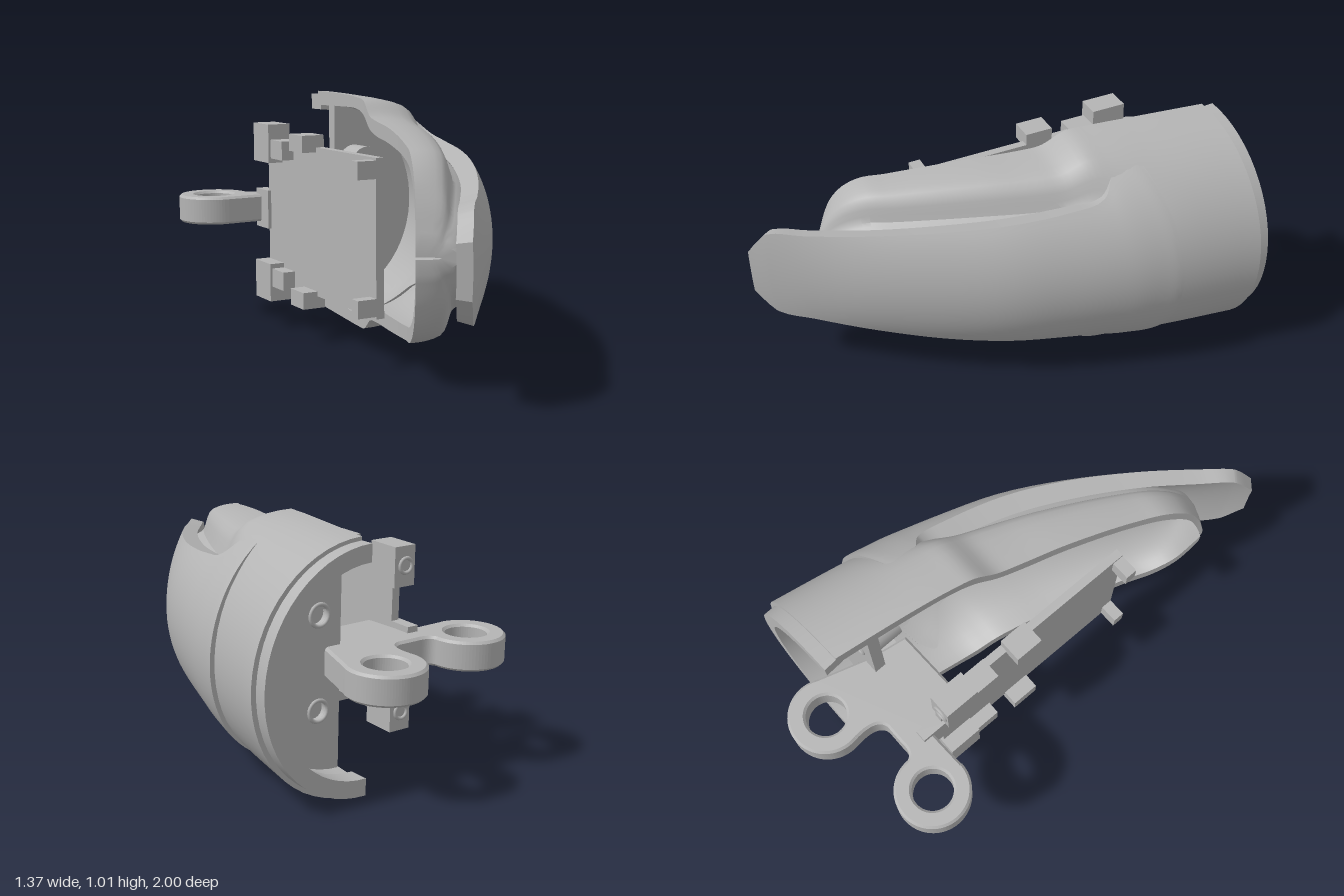
import * as THREE from 'three';
import { toCreasedNormals } from 'three/addons/utils/BufferGeometryUtils.js';

const MID = 0.51;      // height of the symmetry plane
const TILT = -0.24;    // turn of the bulkhead
const N = 30;          // half the points of each cross-section loop

// Smoothly fills in rows of numbers; the first two columns set the spacing.
function refine(rows, steps) {
  const at = [0];
  for (let i = 1; i < rows.length; i++)
    at.push(at[i - 1] + Math.hypot(rows[i][0] - rows[i - 1][0], rows[i][1] - rows[i - 1][1]));
  const curve = new THREE.CubicInterpolant(at, rows.flat(), rows[0].length);
  const out = [];
  for (let i = 0; i < rows.length - 1; i++)
    for (let k = 0; k < steps; k++)
      out.push(Array.from(curve.evaluate(at[i] + (at[i + 1] - at[i]) * k / steps)));
  out.push(rows[rows.length - 1]);
  return out;
}

// Skins closed loops (outer line down, inner line back up) and caps both ends.
function loft(loops) {
  const pos = loops.flat(2), idx = [], L = loops[0].length, last = (loops.length - 1) * L;
  for (let k = 0; k < loops.length - 1; k++)
    for (let i = 0; i < L; i++) {
      const a = k * L + i, b = k * L + (i + 1) % L;
      idx.push(a, a + L, b, b, a + L, b + L);
    }
  for (let j = 0; j < L / 2 - 1; j++) {
    const p = j, q = j + 1, r = L - 1 - j, s = L - 2 - j;
    idx.push(p, q, r, q, s, r);
    idx.push(last + p, last + r, last + q, last + q, last + r, last + s);
  }
  const g = new THREE.BufferGeometry();
  g.setAttribute('position', new THREE.Float32BufferAttribute(pos, 3));
  g.setIndex(idx);
  return toCreasedNormals(g, 0.55);
}

// Upper half of the recessed section: flat shoulder, ridge, channel, outer bulge.
const RIDGED = [[0, 1], [0.15, 1], [0.3, 0.985], [0.43, 0.95], [0.51, 0.89], [0.55, 0.79], [0.59, 0.69],
  [0.66, 0.65], [0.76, 0.62], [0.88, 0.44], [0.96, 0.24], [1, 0]];

function arch(a, w) {
  const t = Math.abs(a), f = t * (RIDGED.length - 1), i = Math.min(Math.floor(f), RIDGED.length - 2);
  const mix = (c) => THREE.MathUtils.lerp(RIDGED[i][c], RIDGED[i + 1][c], f - i);
  const ang = t * Math.PI / 2;
  return [THREE.MathUtils.lerp(Math.sin(ang), mix(0), w),
    THREE.MathUtils.lerp(Math.cos(ang), mix(1), w)];
}

// Row: open edge x, z, outer x, z, half height, inner half height, ridge blend
function shellLoop([ix, iz, ox, oz, h, hi, blend]) {
  const d = Math.hypot(ox - ix, oz - iz), w = THREE.MathUtils.clamp(blend, 0, 1);
  const inner = Math.max(0.02, d - 0.065) / d, outer = [], back = [];
  for (let j = 0; j < N; j++) {
    const t = j / (N - 1) * 2 - 1, sign = t < 0 ? 1 : -1, a = 1 - Math.abs(t);
    const [s, y] = arch(a, w), [si, yi] = arch(a, 0);
    outer.push([ix + (ox - ix) * s, MID + sign * y * h, iz + (oz - iz) * s]);
    back.unshift([ix + (ox - ix) * si * inner, MID + sign * yi * hi, iz + (oz - iz) * si * inner]);
  }
  return outer.concat(back);
}

// Row: crest x, z, inward direction x, z, depth, ellipse height, edge height, thickness
function coverLoop([ox, oz, dx, dz, d, ho, e, thick]) {
  const len = Math.hypot(dx, dz), outer = [], back = [];
  for (let j = 0; j < N; j++) {
    const y = e * (1 - 2 * j / (N - 1));
    const drop = d * (1 - Math.sqrt(Math.max(0, 1 - (y / ho) ** 2)));
    const put = (k, yy) => [ox - dx / len * k, MID + yy, oz - dz / len * k];
    outer.push(put(drop, y));
    back.unshift(put(drop + thick, y * 0.93));
  }
  return outer.concat(back);
}

export function createModel() {
  const model = new THREE.Group();
  const grey = new THREE.MeshStandardMaterial({ color: 0xb4b4b4 });
  grey.name = 'grey';
  const add = (name, geometry, parent = model) => {
    const mesh = new THREE.Mesh(geometry, grey);
    mesh.name = name;
    parent.add(mesh);
    return mesh;
  };

  // Curved half-tube shell with a rounded nose
  add('shell', loft(refine([
    [0.2, -0.715, 0.678, -0.61, 0.505, 0.44, 0],
    [0.08, -0.42, 0.54, -0.31, 0.505, 0.45, 0],
    [0.0, -0.24, 0.45, -0.13, 0.5, 0.45, 0.4],
    [-0.04, -0.16, 0.4, -0.04, 0.49, 0.43, 0.75],
    [-0.085, -0.08, 0.35, 0.05, 0.435, 0.38, 0.95],
    [-0.13, 0, 0.29, 0.13, 0.42, 0.36, 1],
    [-0.24, 0.19, 0.14, 0.3, 0.405, 0.345, 1],
    [-0.42, 0.46, -0.14, 0.58, 0.365, 0.31, 1],
    [-0.5, 0.56, -0.26, 0.68, 0.34, 0.28, 1],
    [-0.56, 0.635, -0.37, 0.76, 0.26, 0.2, 1],
    [-0.585, 0.665, -0.43, 0.8, 0.18, 0.11, 1],
    [-0.61, 0.69, -0.5, 0.8, 0.06, 0.005, 1],
  ], 4).map(shellLoop)));

  // Stepped lip around the mouth
  add('mouthLip', loft([
    [0.21, -0.77, 0.668, -0.665, 0.49, 0.42, 0],
    [0.195, -0.69, 0.65, -0.585, 0.49, 0.42, 0],
  ].map(shellLoop)));

  // Raised outer cover that runs on to a chamfered tip
  add('outerCover', loft(refine([
    [0.555, -0.29, 1, 0, 0.54, 0.5, 0.445, 0.07],
    [0.547, -0.27, 1, 0, 0.54, 0.5, 0.465, 0.07],
    [0.522, -0.22, 1, 0.03, 0.54, 0.5, 0.46, 0.07],
    [0.477, -0.13, 0.99, 0.12, 0.52, 0.49, 0.41, 0.08],
    [0.437, -0.06, 0.97, 0.22, 0.5, 0.48, 0.355, 0.08],
    [0.345, 0.09, 0.9, 0.43, 0.46, 0.47, 0.325, 0.08],
    [0.195, 0.31, 0.84, 0.54, 0.42, 0.46, 0.3, 0.08],
    [0.0, 0.515, 0.77, 0.64, 0.36, 0.45, 0.275, 0.075],
    [-0.22, 0.705, 0.68, 0.73, 0.28, 0.42, 0.245, 0.065],
    [-0.45, 0.862, 0.62, 0.78, 0.15, 0.4, 0.216, 0.06],
    [-0.575, 0.945, 0.6, 0.8, 0.1, 0.4, 0.202, 0.055],
    [-0.59, 0.955, 0.6, 0.8, 0.1, 0.4, 0.19, 0.055],
    [-0.655, 0.995, 0.6, 0.8, 0.08, 0.4, 0.1, 0.055],
  ], 4).map(coverLoop)));

  // Bulkhead inside the mouth, with two collared screw holes and posts
  const bulkhead = new THREE.Group();
  bulkhead.name = 'bulkheadGroup';
  bulkhead.position.set(0.155, MID, -0.59);
  bulkhead.rotation.y = TILT;
  const wall = new THREE.Shape().absellipse(0, 0, 0.43, 0.46, -Math.PI / 2, Math.PI / 2, false);
  for (const s of [1, -1]) {
    wall.holes.push(new THREE.Path().absarc(0.1, s * 0.19, 0.04, 0, Math.PI * 2, true));
    const post = add('post', new THREE.CylinderGeometry(0.075, 0.075, 0.14, 24), bulkhead);
    post.rotation.x = Math.PI / 2;
    post.position.set(0.1, s * 0.19, 0.1);
    add('holeCollar', new THREE.TorusGeometry(0.043, 0.008, 8, 24), bulkhead).position.set(0.1, s * 0.19, 0);
  }
  add('bulkhead', new THREE.ExtrudeGeometry(wall, { depth: 0.05, bevelEnabled: false, curveSegments: 24 }), bulkhead);
  model.add(bulkhead);

  // Flat hinge bracket with two ring lugs
  const b = new THREE.Shape();
  b.moveTo(-0.17, -0.48);
  b.lineTo(-0.14, -0.665);
  b.lineTo(-0.345, -0.71);
  b.absarc(-0.31, -0.847, 0.144, 1.83, Math.PI * 2 + 0.25, false);
  b.quadraticCurveTo(-0.17, -0.765, -0.1, -0.755);
  b.lineTo(-0.02, -0.735);
  b.quadraticCurveTo(0.05, -0.73, 0.066, -0.847);
  b.absarc(0.213, -0.847, 0.146, Math.PI, Math.PI * 2 + 0.7, false);
  b.lineTo(0.2, -0.55);
  b.lineTo(0.14, -0.41);
  for (const x of [-0.31, 0.213])
    b.holes.push(new THREE.Path().absarc(x, -0.847, 0.093, 0, Math.PI * 2, true));
  const bracket = add('hingeBracket', new THREE.ExtrudeGeometry(b, {
    depth: 0.1, bevelThickness: 0.01, bevelSize: 0.01, bevelSegments: 1, curveSegments: 28,
  }));
  bracket.geometry.rotateX(Math.PI / 2);
  bracket.position.y = MID + 0.05;

  // Back plate with mirrored blocks, tabs and feet
  const plate = new THREE.Group();
  plate.name = 'backPlateGroup';
  plate.position.set(-0.127, MID, -0.7);
  plate.rotation.y = -0.255;
  model.add(plate);
  const box = (name, x0, x1, y0, y1, z0, z1) =>
    add(name, new THREE.BoxGeometry(x1 - x0, y1 - y0, z1 - z0), plate)
      .position.set((x0 + x1) / 2, (y0 + y1) / 2, (z0 + z1) / 2);
  box('backPlate', -0.035, 0, -0.31, 0.31, 0.1, 1.05);
  box('plateNeck', -0.05, 0, -0.085, 0.085, 0, 0.12);
  for (const s of [1, -1]) {
    const pair = (name, x0, x1, y0, y1, z0, z1) =>
      box(name, x0, x1, Math.min(s * y0, s * y1), Math.max(s * y0, s * y1), z0, z1);
    pair('block', -0.1, 0, 0.22, 0.385, 0.09, 0.24);
    pair('blockArm', -0.09, 0, 0.24, 0.32, 0.24, 0.35);
    pair('sideTab', -0.1, 0, 0.29, 0.36, 0.44, 0.56);
    pair('foot', -0.115, 0, 0.23, 0.3, 1.0, 1.05);
    add('screwRing', new THREE.TorusGeometry(0.03, 0.008, 8, 20), plate).position.set(-0.055, s * 0.305, 0.09);
  }
  return model;
}
